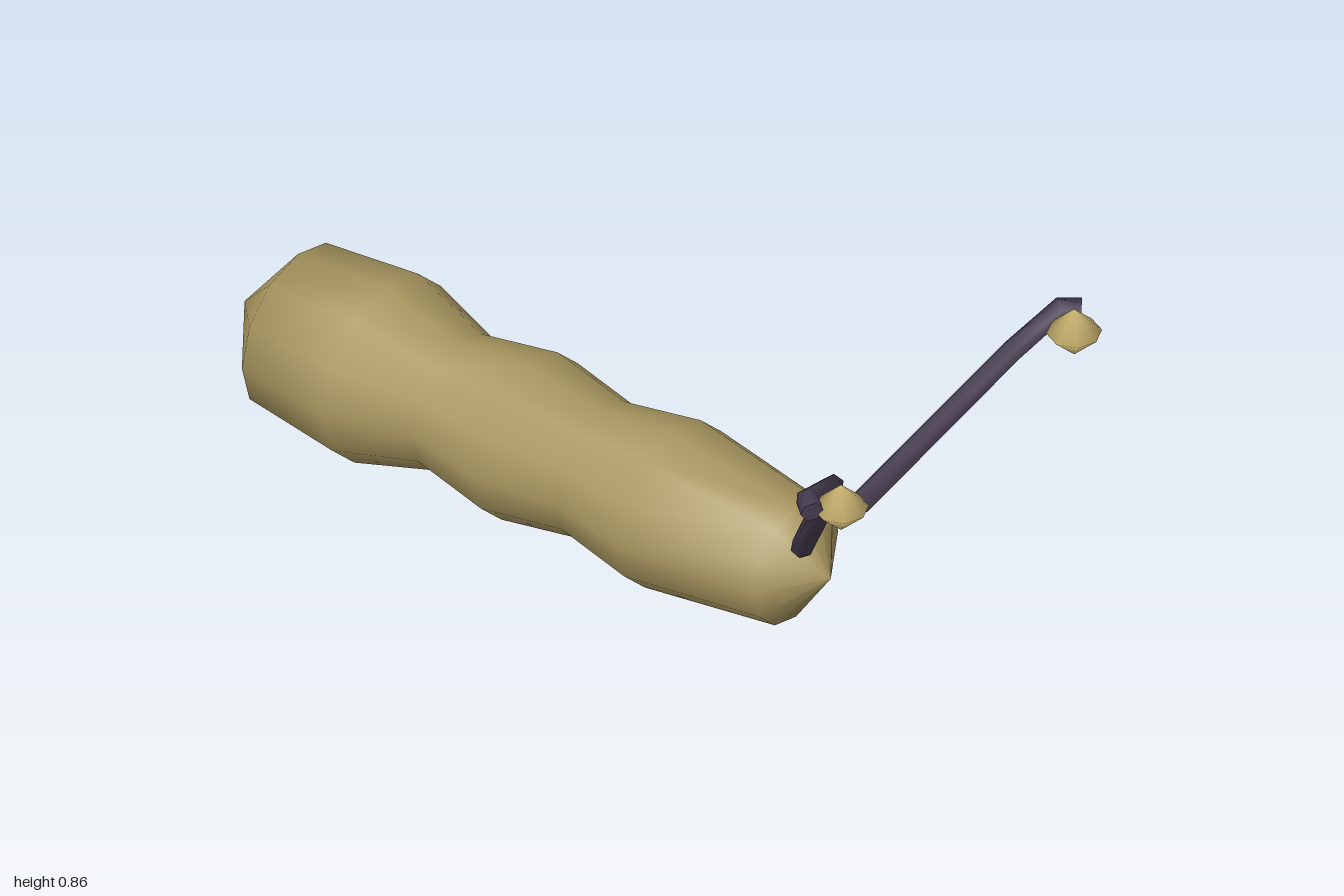
import * as THREE from 'three';

const bodyMat = new THREE.MeshStandardMaterial({ name: 'olive tan', color: 0xa8965f });
const tipMat = new THREE.MeshStandardMaterial({ name: 'pale gold', color: 0xcdb672 });
const stalkMat = new THREE.MeshStandardMaterial({ name: 'dark violet', color: 0x483e52 });

// Capped cylinder whose rings are moved onto the points of a path
function bentRod(path, radius, sides) {
  const n = path.length - 1;
  const geo = new THREE.CylinderGeometry(radius, radius, n, sides, n);
  const up = new THREE.Vector3(0, 1, 0);
  const turns = path.map((p, i) => {
    const dir = new THREE.Vector3();
    if (i > 0) dir.add(p.clone().sub(path[i - 1]).normalize());
    if (i < n) dir.add(path[i + 1].clone().sub(p).normalize());
    return new THREE.Quaternion().setFromUnitVectors(up, dir.normalize());
  });
  const pos = geo.attributes.position;
  const v = new THREE.Vector3();
  for (let k = 0; k < pos.count; k++) {
    v.fromBufferAttribute(pos, k);
    const i = Math.round(v.y + n / 2);
    v.setY(0).applyQuaternion(turns[i]).add(path[i]);
    pos.setXYZ(k, v.x, v.y, v.z);
  }
  geo.computeVertexNormals();
  return geo;
}

export function createModel() {
  const model = new THREE.Group();
  model.name = 'larva';

  // Segmented body, turned around the long axis: [radius, z] from tail to head
  const profile = [
    [0, -1], [0.192, -0.855], [0.217, -0.615], [0.157, -0.42], [0.192, -0.225],
    [0.157, -0.03], [0.192, 0.165], [0.145, 0.5], [0, 0.595],
  ].map(([r, z]) => new THREE.Vector2(r, z));
  const body = new THREE.Mesh(new THREE.LatheGeometry(profile, 12), bodyMat);
  body.name = 'body';
  body.rotation.x = Math.PI / 2;
  body.position.y = 0.22;
  model.add(body);

  // Pair of eye stalks with faceted beads
  for (const s of [1, -1]) {
    const side = s > 0 ? 'left' : 'right';
    const path = [
      [0.1, 0.362, 0.595], [0.308, 0.763, 0.845], [0.435, 0.815, 0.875], [0.462, 0.812, 0.91],
    ].map(([x, y, z]) => new THREE.Vector3(s * x, y, z));
    const stalk = new THREE.Mesh(bentRod(path, 0.025, 6), stalkMat);
    stalk.name = side + 'Stalk';

    const bead = new THREE.Mesh(new THREE.SphereGeometry(0.06, 8, 2), tipMat);
    bead.name = side + 'Bead';
    bead.position.set(s * 0.4, 0.803, 0.94);
    model.add(stalk, bead);
  }
  return model;
}
